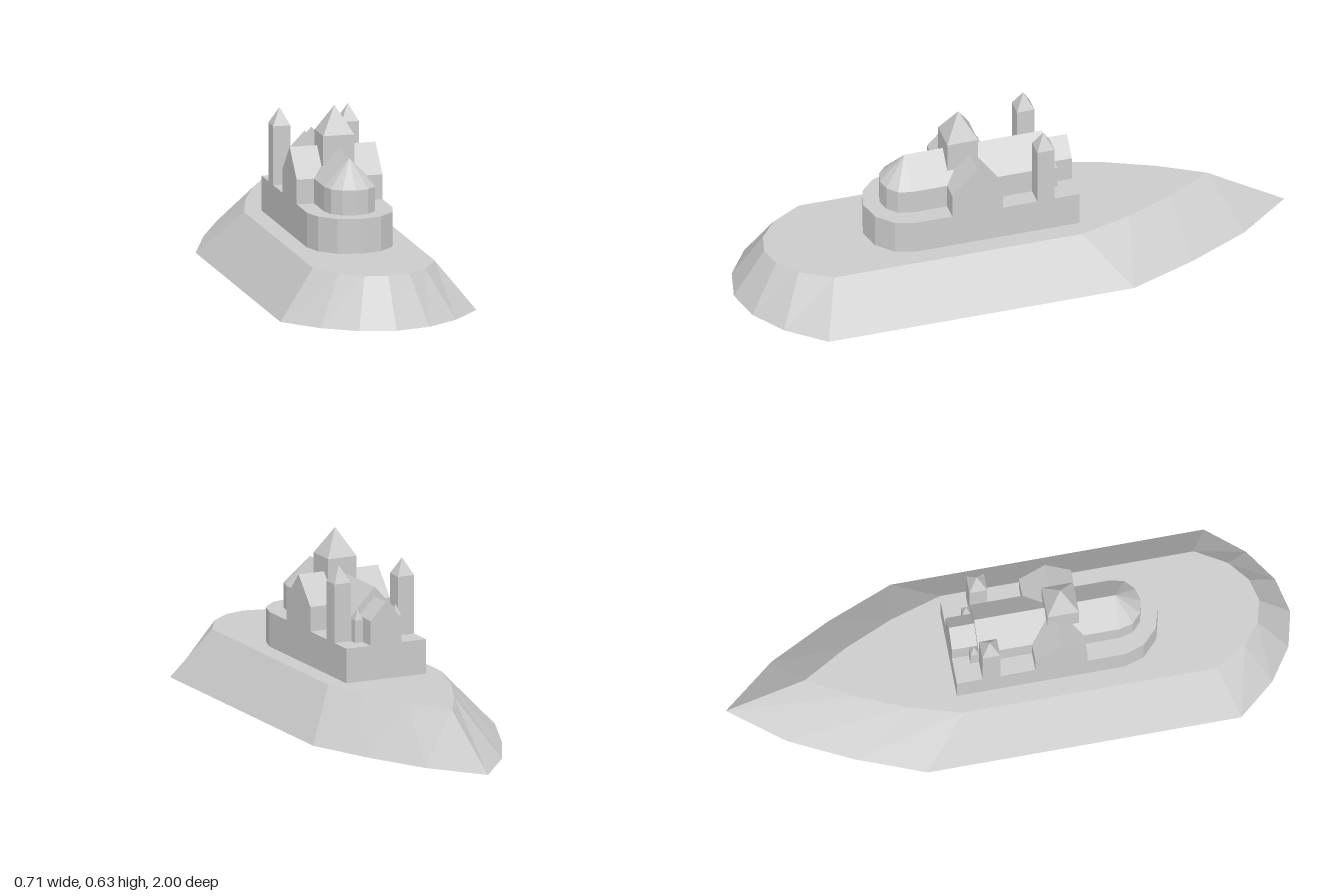
import * as THREE from 'three';

const material = new THREE.MeshStandardMaterial({ color: 0xcccccc, flatShading: true });

function add(parent, name, geometry, x = 0, y = 0, z = 0) {
  const mesh = new THREE.Mesh(geometry, material);
  mesh.name = name;
  mesh.position.set(x, y, z);
  parent.add(mesh);
  return mesh;
}

// Completes a half outline of [x, z] points, listed back to front, by mirroring it
function mirrored(half) {
  const other = half.filter(p => p[0] > 0).reverse().map(([x, z]) => [-x, z]);
  return [...half, ...other];
}

// Solid between two convex outlines with the same number of points
function loft(bottom, y0, top, y1) {
  const n = bottom.length, pos = [], index = [];
  bottom.forEach(([x, z]) => pos.push(x, y0, z));
  top.forEach(([x, z]) => pos.push(x, y1, z));
  for (let i = 0; i < n; i++) {
    const j = (i + 1) % n;
    index.push(i, n + i, j, j, n + i, n + j);
    if (i > 0 && i < n - 1) index.push(0, i, j, n, n + j, n + i);
  }
  const g = new THREE.BufferGeometry();
  g.setAttribute('position', new THREE.Float32BufferAttribute(pos, 3));
  g.setIndex(index);
  const flat = g.toNonIndexed();
  flat.computeVertexNormals();
  return flat;
}

// Gabled block running along z from 0 to length
function gable(halfWidth, base, eave, ridge, length) {
  const s = new THREE.Shape([
    [-halfWidth, base], [halfWidth, base], [halfWidth, eave], [0, ridge], [-halfWidth, eave],
  ].map(p => new THREE.Vector2(...p)));
  return new THREE.ExtrudeGeometry(s, { depth: length, bevelEnabled: false });
}

// Square tower with a pyramid roof
function tower(parent, name, width, base, eave, apex, x, z) {
  const group = new THREE.Group();
  group.name = name;
  group.position.set(x, 0, z);
  add(group, name + 'Walls', new THREE.BoxGeometry(width, eave - base, width), 0, (base + eave) / 2, 0);
  const roof = new THREE.ConeGeometry(width * Math.SQRT1_2, apex - eave, 4).rotateY(Math.PI / 4);
  add(group, name + 'Roof', roof, 0, (apex + eave) / 2, 0);
  parent.add(group);
}

export function createModel() {
  const model = new THREE.Group();
  model.name = 'islandCathedral';
  const ground = 0.171, floor = 0.295, eave = 0.383, ridge = 0.48;

  // Island with sloping banks, pointed at the back and rounded at the front
  const shore = mirrored([[0, -1], [0.15, -0.81], [0.26, -0.59], [0.354, -0.35],
    [0.354, 0.76], [0.245, 0.89], [0.127, 0.97], [0, 1]]);
  const plateau = mirrored([[0, -0.72], [0.09, -0.56], [0.165, -0.385], [0.22, -0.2],
    [0.22, 0.7], [0.155, 0.81], [0.08, 0.87], [0, 0.89]]);
  add(model, 'island', loft(shore, 0, plateau, ground));

  // Terrace with a rounded front
  const terrace = mirrored([[0.155, -0.21], [0.155, 0.385], [0.134, 0.455], [0.078, 0.51], [0, 0.53]]);
  add(model, 'terrace', loft(terrace, ground, terrace, floor));

  // Nave, porch and transept
  add(model, 'nave', gable(0.092, floor, eave, ridge, 0.5), 0, 0, -0.12);
  add(model, 'porch', gable(0.06, floor, eave, 0.446, 0.1), 0, 0, -0.21);
  add(model, 'transept', gable(0.092, floor, eave, ridge, 0.31), -0.155, 0, 0.16).rotation.y = Math.PI / 2;

  // Apse with a half-cone roof
  const apse = mirrored([[0.092, 0.38], [0.08, 0.427], [0.046, 0.459], [0, 0.47]]);
  add(model, 'apseWalls', loft(apse, floor, apse, eave));
  add(model, 'apseRoof', loft(apse, eave, apse.map(() => [0, 0.38]), ridge));

  // Crossing tower and the paired towers at the back
  tower(model, 'crossingTower', 0.112, 0.38, 0.53, 0.627, 0, 0.185);
  for (const side of [-1, 1]) {
    const name = side > 0 ? 'left' : 'right';
    tower(model, name + 'Tower', 0.063, floor, 0.505, 0.565, side * 0.1235, -0.088);
    tower(model, name + 'Turret', 0.03, floor, 0.375, 0.415, side * 0.075, -0.135);
  }
  return model;
}
